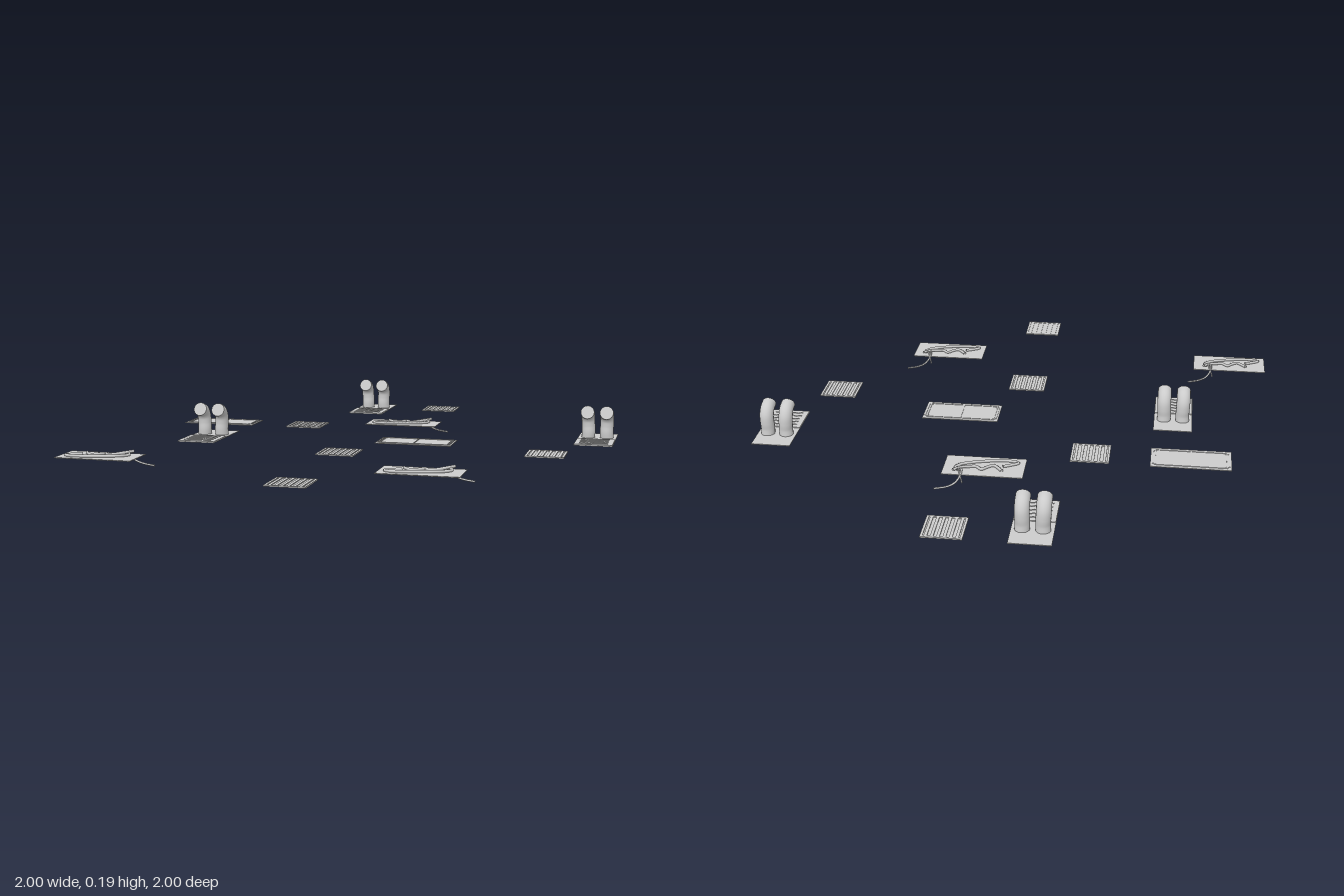
import * as THREE from 'three';

const mat = new THREE.MeshStandardMaterial({ color: 0xcccccc, side: THREE.DoubleSide });
const Y = 0.05; // underside of the floor tiles
const T = 0.003; // tile thickness

function box(parent, name, w, h, d, x, y, z) {
  const m = new THREE.Mesh(new THREE.BoxGeometry(w, h, d), mat);
  m.name = name;
  m.position.set(x, y + h / 2, z);
  parent.add(m);
  return m;
}

function tube(parent, name, pts, r, segments = 32, sides = 6) {
  const curve = new THREE.CatmullRomCurve3(pts.map(p => new THREE.Vector3(...p)));
  const m = new THREE.Mesh(new THREE.TubeGeometry(curve, segments, r, sides), mat);
  m.name = name;
  parent.add(m);
  return curve;
}

// Rectangular rim lying on a tile
function rim(parent, w, d, t, h, y) {
  for (const s of [-1, 1]) {
    box(parent, 'rimLong', w, h, t, 0, y, s * (d - t) / 2);
    box(parent, 'rimShort', t, h, d - 2 * t, s * (w - t) / 2, y, 0);
  }
}

// Square grate: base, rim and bars running front to back
function grate() {
  const g = new THREE.Group();
  box(g, 'grateBase', 0.148, 0.002, 0.148, 0, 0, 0);
  rim(g, 0.148, 0.148, 0.009, 0.003, 0.002);
  for (let i = 0; i < 6; i++) {
    box(g, 'grateBar', 0.011, 0.003, 0.13, (i - 2.5) * 0.022, 0.002, 0);
  }
  return g;
}

// Double panel with a raised border, centre seam and end brackets
function panel() {
  const g = new THREE.Group();
  box(g, 'panelBase', 0.305, T, 0.152, 0, 0, 0);
  const border = new THREE.Group();
  rim(border, 0.275, 0.125, 0.004, 0.002, T);
  border.name = 'panelBorder';
  g.add(border);
  box(g, 'centreSeam', 0.004, 0.002, 0.117, 0, T, 0);
  for (const s of [-1, 1]) {
    box(g, 'endBracket', 0.004, 0.002, 0.104, s * 0.144, T, 0);
    for (const t of [-1, 1]) box(g, 'bracketFoot', 0.012, 0.002, 0.005, s * 0.136, T, t * 0.052);
  }
  return g;
}

// Vent: flat tile, ribbed plate at the front and two bent pipes behind it
function vent() {
  const g = new THREE.Group();
  box(g, 'ventBase', 0.152, T, 0.305, 0, 0, 0);
  box(g, 'ventPlate', 0.15, 0.003, 0.15, 0, T, 0.077);
  for (let row = 0; row < 5; row++) {
    const pts = [];
    for (let i = 0; i <= 16; i++) {
      pts.push([-0.056 + i * 0.007, 0.006, 0.025 + row * 0.026 + 0.003 * Math.sin(i * Math.PI / 2)]);
    }
    tube(g, 'wavyRib', pts, 0.0025, 48, 5);
  }
  for (const s of [-1, 1]) {
    const pts = [
      [s * 0.037, -0.001, -0.053], [s * 0.036, 0.025, -0.051], [s * 0.037, 0.05, -0.053],
      [s * 0.038, 0.078, -0.05], [s * 0.038, 0.1, -0.035], [s * 0.038, 0.111, -0.004],
    ];
    const curve = tube(g, 'bentPipe', pts, 0.027, 24, 20);
    for (const t of [0, 1]) {
      const cap = new THREE.Mesh(new THREE.CircleGeometry(0.027, 20), mat);
      cap.name = 'pipeEnd';
      cap.position.copy(curve.getPointAt(t));
      cap.lookAt(cap.position.clone().addScaledVector(curve.getTangentAt(t), t ? 1 : -1));
      g.add(cap);
    }
  }
  return g;
}

// Tile with a loose cable whose tail hangs over the back edge
function cableTile() {
  const g = new THREE.Group();
  box(g, 'cableTileBase', 0.305, T, 0.152, 0, 0, 0);
  const y = 0.007;
  tube(g, 'outerCable', [
    [-0.07, y, 0.0], [-0.1, y, 0.016], [-0.125, y, 0.034], [-0.1, y, 0.046], [-0.055, y, 0.046],
    [0.0, y, 0.035], [0.05, y, 0.02], [0.09, y, 0], [0.105, y, -0.025], [0.09, y + 0.005, -0.055],
  ], 0.006, 60);
  tube(g, 'innerCable', [
    [-0.07, y, -0.035], [-0.055, y, -0.015], [-0.035, y, 0.004], [-0.015, y, -0.008],
    [0.008, y, -0.03], [0.03, y, -0.01], [0.055, y + 0.002, -0.018], [0.085, y + 0.006, -0.035],
    [0.11, y + 0.008, -0.06],
  ], 0.006, 60);
  tube(g, 'cableTail', [
    [0.085, y + 0.005, -0.03], [0.078, y + 0.003, -0.058], [0.083, -0.006, -0.08],
    [0.1, -0.025, -0.093], [0.13, -0.038, -0.1], [0.175, -0.046, -0.104],
  ], 0.004, 40);
  tube(g, 'cableTailBranch', [
    [0.09, y + 0.005, -0.045], [0.08, -0.002, -0.075], [0.073, -0.018, -0.088], [0.072, -0.024, -0.091],
  ], 0.003, 20);
  return g;
}

export function createModel() {
  const model = new THREE.Group();
  model.name = 'floorTileSet';
  const place = (name, build, spots) => {
    for (const [x, z] of spots) {
      const g = build();
      g.name = name;
      g.position.set(x, Y, z);
      model.add(g);
    }
  };
  place('grate', grate, [[0.15, -0.92], [-0.31, -0.305], [0.77, 0.155], [0, 0.31], [0, 0.924]]);
  place('panel', panel, [[-0.69, -0.307], [0.233, 0]]);
  place('vent', vent, [[-0.154, -0.845], [0.923, -0.23], [-0.615, 0.078]]);
  place('cableTile', cableTile, [[0.077, -0.46], [-0.846, 0.615], [0.385, 0.615]]);
  return model;
}
